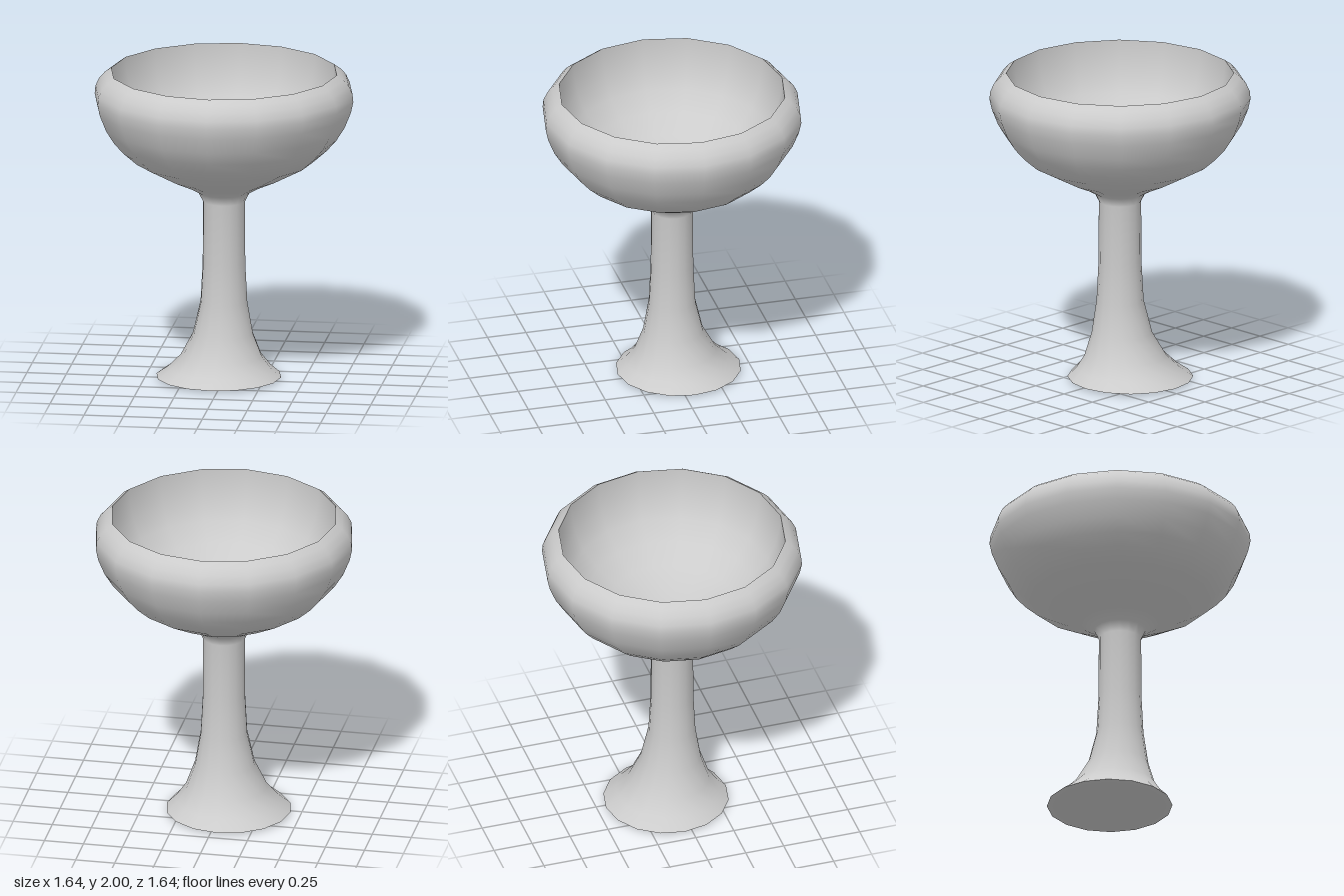
import * as THREE from 'three';

const SIDES = 16;
const material = new THREE.MeshStandardMaterial({ color: 0xcccccc, side: THREE.DoubleSide });

// Profile points are [radius, height], listed from bottom to top on outer faces
function lathe(name, points) {
  const profile = points.map(([r, y]) => new THREE.Vector2(r, y));
  const mesh = new THREE.Mesh(new THREE.LatheGeometry(profile, SIDES), material);
  mesh.name = name;
  return mesh;
}

// Slide the flared foot off centre: strongest at the ground, fading out up the stem
function shiftFoot(mesh) {
  const p = mesh.geometry.attributes.position;
  for (let i = 0; i < p.count; i++) {
    const k = Math.pow(Math.max(0, 1 - p.getY(i) / 0.6), 2.5);
    p.setX(i, p.getX(i) - 0.042 * k);
    p.setZ(i, p.getZ(i) - 0.055 * k);
  }
  return mesh;
}

export function createModel() {
  const group = new THREE.Group();
  group.name = 'goblet';

  // Stem, foot and the outside of the bowl in one continuous smooth skin
  group.add(shiftFoot(lathe('stemAndBowl', [
    [0.395, 0.012], [0.325, 0.07], [0.257, 0.15], [0.19, 0.3], [0.148, 0.51],
    [0.135, 0.76], [0.133, 1.16], [0.163, 1.22], [0.25, 1.27], [0.37, 1.325],
    [0.565, 1.43], [0.65, 1.505], [0.712, 1.575], [0.765, 1.66], [0.805, 1.76],
    [0.82, 1.83], [0.815, 1.88], [0.792, 1.93], [0.757, 1.97], [0.715, 2],
  ])));

  // Inside of the bowl, meeting the outside in a sharp rim
  group.add(lathe('bowlInterior', [
    [0.715, 2], [0.71, 1.92], [0.685, 1.8], [0.63, 1.68],
    [0.53, 1.57], [0.4, 1.48], [0.2, 1.4], [0, 1.38],
  ]));

  // Underside of the foot
  group.add(shiftFoot(lathe('footUnderside', [[0, 0], [0.29, 0], [0.395, 0.012]])));

  return group;
}
